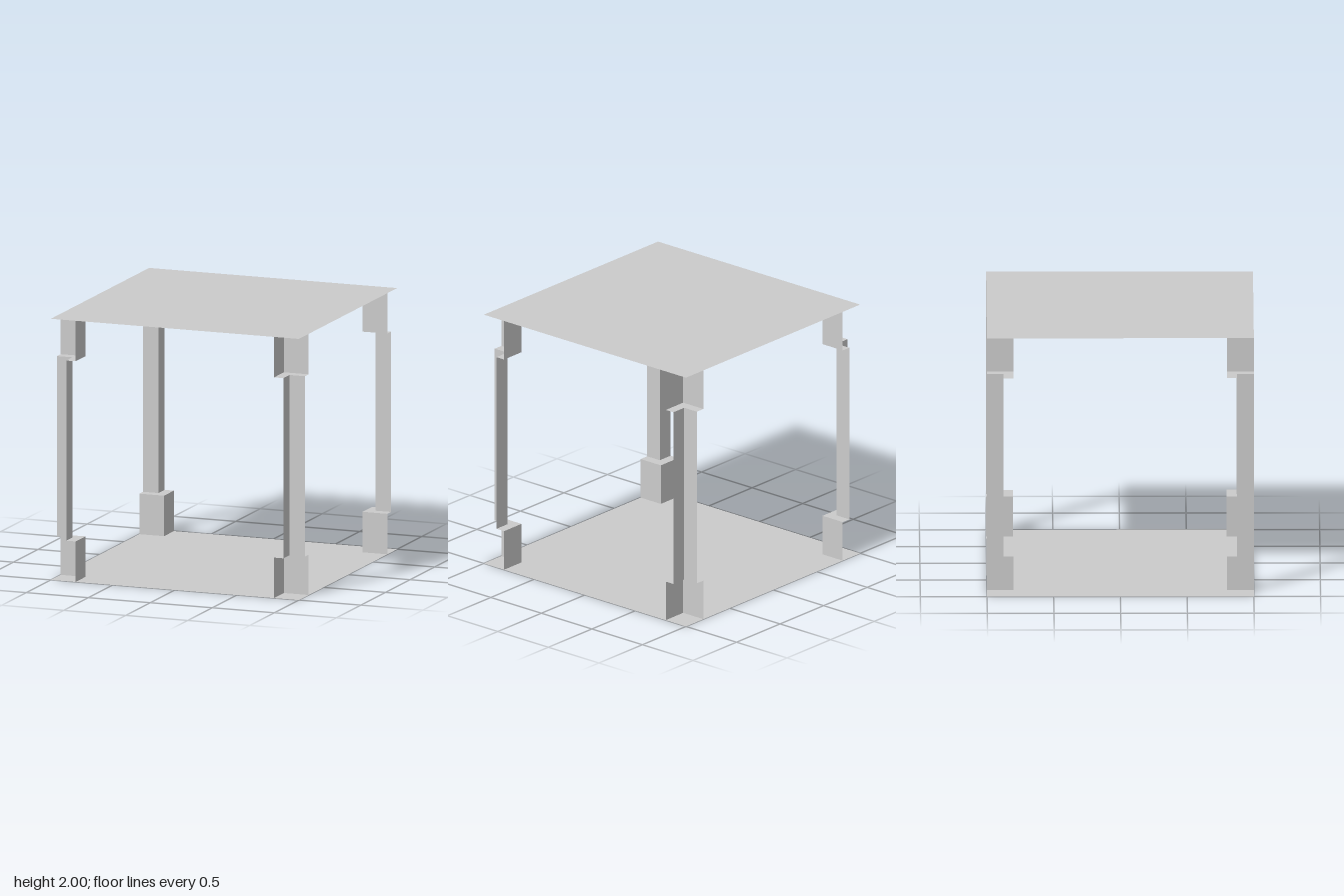
import * as THREE from 'three';

const material = new THREE.MeshStandardMaterial({ color: 0xcccccc, flatShading: true, side: THREE.DoubleSide });
const BLOCK = 0.2, POST = 0.125;   // widths in plan
const LOW = 0.31, HIGH = 1.69;     // heights where block meets post

// Horizontal sheet covering the whole footprint
function plate(name, y, facing) {
  const mesh = new THREE.Mesh(new THREE.PlaneGeometry(2, 2), material);
  mesh.name = name;
  mesh.rotation.x = -facing * Math.PI / 2;
  mesh.position.y = y;
  return mesh;
}

// The two inward walls of a corner column; its outer sides are open
function innerWalls(name, width, y0, y1) {
  const group = new THREE.Group();
  group.name = name;
  const geometry = new THREE.PlaneGeometry(width, y1 - y0);
  const inner = 1 - width, middle = 1 - width / 2, y = (y0 + y1) / 2;
  const sideWall = new THREE.Mesh(geometry, material);
  sideWall.rotation.y = -Math.PI / 2;
  sideWall.position.set(inner, y, middle);
  const frontWall = new THREE.Mesh(geometry, material);
  frontWall.rotation.y = Math.PI;
  frontWall.position.set(middle, y, inner);
  group.add(sideWall, frontWall);
  return group;
}

// L-shaped step between a block and the slimmer post
function ledge(name, y, facing) {
  const b = 1 - BLOCK, p = 1 - POST;
  const outline = [[b, b], [1, b], [1, p], [p, p], [p, 1], [b, 1]];
  const shape = new THREE.Shape(outline.map(([x, z]) => new THREE.Vector2(x, -facing * z)));
  const mesh = new THREE.Mesh(new THREE.ShapeGeometry(shape), material);
  mesh.name = name;
  mesh.rotation.x = -facing * Math.PI / 2;
  mesh.position.y = y;
  return mesh;
}

export function createModel() {
  const model = new THREE.Group();
  model.name = 'openCubeFrame';
  model.add(plate('floorPlate', 0, 1), plate('topPlate', 2, 1));

  // Same corner turned to all four corners
  const names = ['frontLeftCorner', 'backLeftCorner', 'backRightCorner', 'frontRightCorner'];
  names.forEach((name, i) => {
    const corner = new THREE.Group();
    corner.name = name;
    corner.add(
      innerWalls('lowerBlock', BLOCK, 0, LOW),
      ledge('lowerLedge', LOW, 1),
      innerWalls('post', POST, LOW, HIGH),
      ledge('upperLedge', HIGH, -1),
      innerWalls('upperBlock', BLOCK, HIGH, 2)
    );
    corner.rotation.y = i * Math.PI / 2;
    model.add(corner);
  });
  return model;
}
